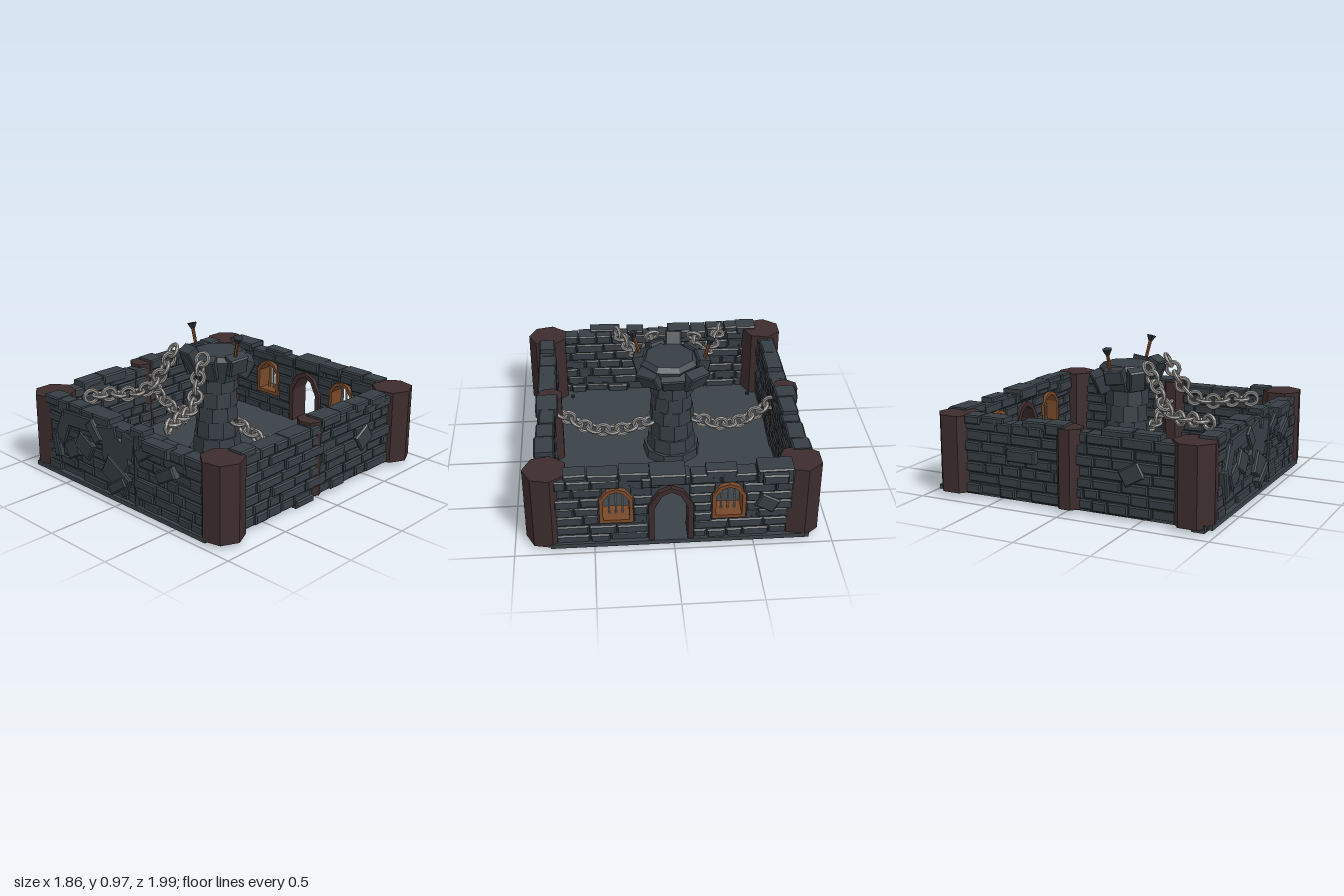
import * as THREE from 'three';
import { mergeGeometries } from 'three/addons/utils/BufferGeometryUtils.js';

const mat = (name, color, side = THREE.FrontSide) => {
  const m = new THREE.MeshStandardMaterial({ color, side, flatShading: true });
  m.name = name;
  return m;
};

let seed = 7;
const rnd = (a = 0, b = 1) => {
  seed = (seed * 1664525 + 1013904223) % 4294967296;
  return a + (b - a) * (seed / 4294967296);
};

// Chamfered stone block centred on the origin
function block(w, h, d, b = 0.009) {
  const x = w / 2 - b, y = h / 2 - b;
  const s = new THREE.Shape([[-x, -y], [x, -y], [x, y], [-x, y]].map(p => new THREE.Vector2(...p)));
  const g = new THREE.ExtrudeGeometry(s, {
    depth: d - 2 * b, bevelEnabled: true, bevelSize: b, bevelThickness: b, bevelSegments: 1,
  });
  return g.translate(0, 0, b - d / 2);
}

function placed(g, x, y, z, rx = 0, ry = 0, rz = 0) {
  const q = new THREE.Quaternion().setFromEuler(new THREE.Euler(rx, ry, rz, 'YXZ'));
  return g.applyMatrix4(new THREE.Matrix4().compose(
    new THREE.Vector3(x, y, z), q, new THREE.Vector3(1, 1, 1)));
}

// Faceted pointed arch, half width w, from y0 up to y0 + h
const archPoints = (x, y0, w, h) => [
  [-w, 0], [w, 0], [w, h * 0.68], [w * 0.55, h * 0.92], [0, h], [-w * 0.55, h * 0.92], [-w, h * 0.68],
].map(([a, b]) => new THREE.Vector2(x + a, y0 + b));

export function createModel() {
  const root = new THREE.Group();
  root.name = 'ruinedDungeonRoom';
  const stone = mat('slateStone', 0x373e44);
  const floorStone = mat('floorStone', 0x3b4248);
  const darkWood = mat('darkBrownPost', 0x3d2c2d);
  const frameWood = mat('orangeWood', 0x78492a);
  const metal = mat('chainMetal', 0x8f8d8a);
  const iron = mat('darkIron', 0x2a2f35);

  const add = (name, geo, material, parent = root) => {
    const m = new THREE.Mesh(geo, material);
    m.name = name;
    parent.add(m);
    return m;
  };

  // Floor slab
  add('floor', new THREE.BoxGeometry(1.63, 0.03, 1.93).translate(-0.04, 0.035, 0), floorStone);

  // Openings of the back wall: x, sill, half width, height
  const openings = [
    { x: -0.34, y: 0.2, w: 0.105, h: 0.26 },
    { x: 0.02, y: 0.03, w: 0.14, h: 0.42, door: true },
    { x: 0.36, y: 0.2, w: 0.105, h: 0.26 },
  ];

  // Brick wall along local x, with a thin core and rows of blocks through it
  function wall(name, half, x, z, turn, holes = [], extras = []) {
    const group = new THREE.Group();
    group.name = name;
    group.position.set(x, 0, z);
    group.rotation.y = turn;
    root.add(group);
    const door = holes.find(o => o.door);
    const outline = [[-half - 0.06, 0.03]];
    if (door) {
      const a = archPoints(door.x, door.y, door.w, door.h).map(p => [p.x, p.y]);
      outline.push(a[0], ...a.slice(2).reverse(), a[1]);
    }
    outline.push([half + 0.06, 0.03], [half + 0.06, 0.5], [-half - 0.06, 0.5]);
    const shape = new THREE.Shape(outline.map(p => new THREE.Vector2(...p)));
    for (const o of holes) if (!o.door) shape.holes.push(new THREE.Path(archPoints(o.x, o.y, o.w, o.h)));
    add(name + 'Core', new THREE.ExtrudeGeometry(shape, { depth: 0.085, bevelEnabled: false })
      .translate(0, 0, -0.0425), stone, group);

    const bricks = [];
    for (let r = 0; r < 7; r++) {
      const y = 0.066 + r * 0.07;
      const stops = [-half];
      for (const o of holes) {
        const t = (y - o.y) / o.h;
        if (t < -0.1 || t > 1.05) continue;
        const w = t < 0.72 ? o.w : o.w * 0.8;
        stops.push(o.x - w, o.x + w);
      }
      stops.push(half);
      for (let i = 0; i < stops.length; i += 2) {
        let a = stops[i];
        const end = stops[i + 1];
        while (end - a > 0.01) {
          let w = rnd(0.1, 0.24);
          if (end - a - w < 0.07) w = end - a;
          bricks.push(placed(block(w - 0.004, rnd(0.062, 0.072), rnd(0.1, 0.135)),
            a + w / 2, y, rnd(-0.008, 0.008), 0, 0, rnd(-0.012, 0.012)));
          a += w;
        }
      }
    }
    // Uneven cap stones
    for (let a = -half; a < half - 0.1;) {
      const w = Math.min(rnd(0.11, 0.24), half - a);
      if (rnd() > 0.3) {
        bricks.push(placed(block(w - 0.006, rnd(0.05, 0.075), rnd(0.1, 0.15)),
          a + w / 2, 0.52, rnd(-0.012, 0.012), 0, rnd(-0.04, 0.04), rnd(-0.02, 0.02)));
      }
      a += w;
    }
    // Loose and tilted stones: x, y, z, width, height, depth, roll
    for (const [ex, ey, ez, w, h, d, roll] of extras)
      bricks.push(placed(block(w, h, d), ex, ey, ez, 0, 0, roll));
    add(name + 'Bricks', mergeGeometries(bricks), stone, group);
    return group;
  }

  const front = wall('frontWall', 0.74, 0, 0.885, 0, [], [
    [-0.56, 0.37, 0.05, 0.2, 0.11, 0.05, 1.15], [-0.4, 0.46, 0.05, 0.3, 0.1, 0.05, 0.06],
    [-0.47, 0.25, 0.05, 0.14, 0.12, 0.05, 0.5], [-0.34, 0.31, 0.05, 0.16, 0.13, 0.06, -0.5],
    [-0.23, 0.44, 0.06, 0.15, 0.08, 0.06, -0.9], [-0.02, 0.2, 0.06, 0.24, 0.15, 0.06, -0.5],
    [0.0, 0.14, 0.07, 0.18, 0.07, 0.06, 0.6], [-0.63, 0.24, 0.06, 0.06, 0.17, 0.05, 0.2],
    [0.44, 0.35, 0.06, 0.17, 0.08, 0.06, 0.5], [0.23, 0.43, 0.05, 0.15, 0.08, 0.06, 0.6],
    [-0.12, 0.44, 0.05, 0.2, 0.13, 0.04, 0.2], [0.08, 0.42, 0.05, 0.13, 0.16, 0.04, -0.2],
    [0.155, 0.27, 0.055, 0.025, 0.48, 0.04, 0], [0.37, 0.5, 0.06, 0.22, 0.07, 0.1, 0.02],
    [-0.68, 0.53, 0, 0.14, 0.06, 0.13, 0.02], [-0.83, 0.03, 0, 0.11, 0.05, 0.1, 0],
  ]);
  // Rounded rubble patch in the blocked arch
  add('rubblePatch', new THREE.CylinderGeometry(0.13, 0.16, 0.04, 9)
    .rotateX(Math.PI / 2).translate(-0.04, 0.33, 0.05), stone, front);

  wall('backWall', 0.74, 0, -0.885, 0, openings, [
    [-0.62, 0.5, -0.06, 0.16, 0.07, 0.1, 0.02], [0.04, 0.51, 0, 0.22, 0.08, 0.16, 0],
    [0.55, 0.47, 0.05, 0.18, 0.08, 0.08, 0.05], [-0.58, 0.3, -0.05, 0.13, 0.1, 0.06, 0.5],
  ]);
  wall('leftWall', 0.74, 0.795, 0, Math.PI / 2, [], [
    [0.44, 0.3, 0.04, 0.14, 0.13, 0.07, 0.55], [-0.14, 0.03, 0, 0.17, 0.05, 0.12, 0],
    [-0.6, 0.3, -0.04, 0.13, 0.1, 0.06, -0.4],
  ]);
  wall('rightWall', 0.74, -0.815, 0, -Math.PI / 2, [], [
    [-0.3, 0.33, 0.08, 0.2, 0.08, 0.07, 0], [0.45, 0.3, 0.045, 0.15, 0.11, 0.06, 0.5],
  ]);

  // Corner towers and mid-wall posts, seven sided
  const post = (name, r, x, z) => add(name,
    new THREE.CylinderGeometry(r, r, 0.51, 7).rotateY(Math.PI / 2).translate(x, 0.285, z), darkWood);
  for (const z of [-0.83, 0.83]) {
    post('cornerTower', 0.14, -0.795, z);
    post('cornerTower', 0.14, 0.79, z);
  }
  post('wallPost', 0.088, -0.837, 0.01);
  post('wallPost', 0.088, 0.768, 0.01);

  // Door and window frames, with bars in the windows
  for (const o of openings) {
    const s = new THREE.Shape(archPoints(o.x, o.y, o.w, o.h));
    const t = o.door ? 0.035 : 0.024;
    s.holes.push(new THREE.Path(archPoints(o.x, o.y + (o.door ? 0.003 : t), o.w - t, o.h - (o.door ? t : 2 * t))));
    add(o.door ? 'doorFrame' : 'windowFrame',
      new THREE.ExtrudeGeometry(s, { depth: 0.145, bevelEnabled: false }).translate(0, 0, -0.96),
      o.door ? darkWood : frameWood);
    if (o.door) continue;
    for (const k of [-1, 0, 1])
      add('windowBar', new THREE.CylinderGeometry(0.007, 0.007, k ? 0.2 : 0.23, 6)
        .translate(o.x + k * 0.042, o.y + (k ? 0.11 : 0.125), -0.885), metal);
  }

  // Central pillar of uneven drums
  const px = -0.06, pz = 0.02;
  const drums = [[0.2, 0.07], [0.17, 0.1], [0.15, 0.12], [0.155, 0.1], [0.145, 0.11], [0.15, 0.1]];
  let y = 0.04;
  drums.forEach(([r, h], i) => {
    add('pillarDrum', new THREE.CylinderGeometry(r * 0.96, r, h, 9)
      .rotateY(i * 0.9).translate(px, y + h / 2, pz), stone);
    y += h;
  });
  add('pillarHead', new THREE.CylinderGeometry(0.2, 0.14, 0.16, 8).rotateY(0.3).translate(-0.04, 0.7, 0.02), stone);
  add('pillarTop', new THREE.CylinderGeometry(0.17, 0.2, 0.03, 8).rotateY(0.3).translate(-0.04, 0.795, 0.02), stone);

  // Tilted stones around the head: x, y, z, width, height, depth, rx, ry, rz
  const crown = [
    [-0.085, 0.77, 0.21, 0.11, 0.22, 0.09, 0.5, -0.1, 0], [0.03, 0.74, 0.19, 0.12, 0.17, 0.08, 0.4, 0.5, 0],
    [-0.19, 0.73, 0.15, 0.11, 0.15, 0.08, 0.35, -0.8, 0.1], [-0.26, 0.755, 0.03, 0.13, 0.1, 0.09, 0.2, -1.4, 0.1],
    [0.14, 0.76, 0.04, 0.14, 0.13, 0.09, 0.3, 1.4, 0.1], [0.09, 0.71, -0.1, 0.15, 0.12, 0.09, 0.45, 2.5, 0.1],
    [-0.06, 0.7, -0.14, 0.16, 0.11, 0.08, 0.5, 3.1, 0.1], [-0.2, 0.7, -0.11, 0.17, 0.12, 0.09, 0.4, -2.5, -0.1],
  ];
  add('pillarCrown', mergeGeometries(crown.map(([x, cy, z, w, h, d, ...rot]) =>
    placed(block(w, h, d), x, cy, z, ...rot))), stone);

  // Torches leaning outwards
  const up = new THREE.Vector3(0, 1, 0);
  for (const [a, b] of [
    [[-0.265, 0.74, 0.0], [-0.315, 0.94, 0.0]], [[0.13, 0.74, 0.05], [0.2, 0.965, 0.08]],
  ]) {
    const p = new THREE.Vector3(...a), dir = new THREE.Vector3(...b).sub(p), len = dir.length();
    const torch = new THREE.Group();
    torch.name = 'torch';
    torch.position.copy(p);
    torch.quaternion.setFromUnitVectors(up, dir.normalize());
    root.add(torch);
    add('torchHandle', new THREE.CylinderGeometry(0.013, 0.011, len - 0.02, 6).translate(0, len / 2, 0), frameWood, torch);
    add('torchCup', new THREE.CylinderGeometry(0.035, 0.014, 0.04, 6).translate(0, len - 0.02, 0), iron, torch);
  }

  // Chains of alternating links
  const chains = [
    [[-0.23, 0.82, 0.26], [-0.25, 0.7, 0.33], [-0.3, 0.58, 0.42], [-0.37, 0.55, 0.54], [-0.43, 0.565, 0.66], [-0.47, 0.57, 0.78]],
    [[0.06, 0.83, 0.27], [0.08, 0.7, 0.34], [0.13, 0.58, 0.42], [0.18, 0.55, 0.54], [0.23, 0.565, 0.66], [0.28, 0.57, 0.78]],
    [[-0.22, 0.32, 0], [-0.38, 0.26, 0], [-0.56, 0.28, 0.01], [-0.74, 0.41, 0.01]],
    [[0.1, 0.32, -0.02], [0.3, 0.26, -0.02], [0.5, 0.28, -0.02], [0.7, 0.41, -0.02]],
  ];
  for (const pts of chains) {
    const curve = new THREE.CatmullRomCurve3(pts.map(p => new THREE.Vector3(...p)));
    const n = Math.round(curve.getLength() / 0.066);
    const links = [];
    for (let i = 0; i <= n; i++) {
      const t = curve.getTangentAt(i / n);
      const side = new THREE.Vector3().crossVectors(t, up).normalize();
      const over = new THREE.Vector3().crossVectors(side, t);
      const m = i % 2 ? new THREE.Matrix4().makeBasis(t, over, side)
        : new THREE.Matrix4().makeBasis(t, side.clone().negate(), over);
      links.push(new THREE.TorusGeometry(0.044, 0.014, 6, 14)
        .applyMatrix4(m.setPosition(curve.getPointAt(i / n))));
    }
    add('chain', mergeGeometries(links), metal);
  }

  // Small iron studs in the floor corners
  for (const [x, z] of [[-0.66, -0.78], [0.66, -0.71], [-0.69, 0.69], [0.63, 0.74]])
    add('floorStud', new THREE.CylinderGeometry(0.013, 0.013, 0.02, 6).translate(x, 0.06, z), iron);

  return root;
}
